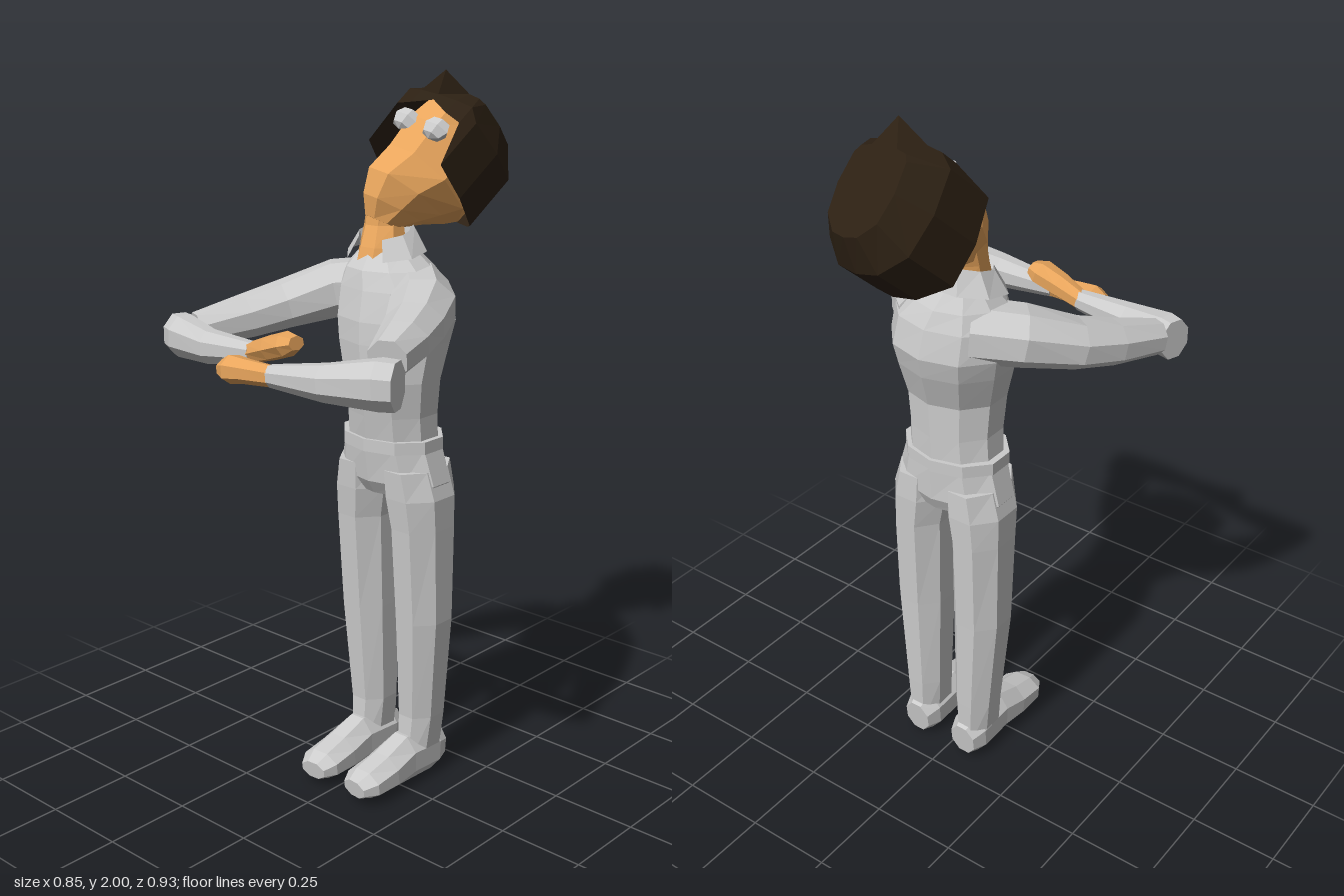
import * as THREE from 'three';

const V = (x, y, z) => new THREE.Vector3(x, y, z);
const mat = (color) => new THREE.MeshStandardMaterial({ color, flatShading: true, side: THREE.DoubleSide });
const cloth = mat(0xcccccc), skin = mat(0xe8a55c), hairMat = mat(0x2c2013);

// Skin a list of rings (equal point counts); optional fan caps and open seam.
function loft(name, rings, material, { start = true, end = true, closed = true } = {}) {
  const n = rings[0].length, pos = [], idx = [];
  rings.forEach((r) => r.forEach((p) => pos.push(p.x, p.y, p.z)));
  for (let k = 0; k < rings.length - 1; k++) {
    for (let i = 0; i < (closed ? n : n - 1); i++) {
      const a = k * n + i, b = k * n + (i + 1) % n;
      idx.push(a, b, b + n, a, b + n, a + n);
    }
  }
  const cap = (k, flip) => {
    const c = rings[k].reduce((s, p) => s.add(p), V(0, 0, 0)).divideScalar(n);
    const ci = pos.length / 3;
    pos.push(c.x, c.y, c.z);
    for (let i = 0; i < n; i++) {
      const a = k * n + i, b = k * n + (i + 1) % n;
      if (flip) idx.push(ci, b, a); else idx.push(ci, a, b);
    }
  };
  if (start) cap(0, true);
  if (end) cap(rings.length - 1, false);
  let g = new THREE.BufferGeometry();
  g.setAttribute('position', new THREE.Float32BufferAttribute(pos, 3));
  g.setIndex(idx);
  g = g.toNonIndexed();
  g.computeVertexNormals();
  const m = new THREE.Mesh(g, material);
  m.name = name;
  return m;
}

// Elliptic ring with half sizes a (sideways) and b, facing along the normal.
function ring(c, normal, a, b, n = 8) {
  const s = Math.abs(normal.y) > 0.9 ? V(1, 0, 0) : V(0, 1, 0).cross(normal).normalize();
  const v = normal.clone().cross(s).normalize(), k = 1 / Math.cos(Math.PI / n);
  return Array.from({ length: n }, (_, i) => {
    const t = ((i + 0.5) / n) * Math.PI * 2;
    return c.clone().addScaledVector(s, a * k * Math.cos(t)).addScaledVector(v, b * k * Math.sin(t));
  });
}

// Upright part: rows of [y, xMin, xMax, zBack, zFront], listed from bottom to top.
const column = (name, rows, material, n = 8) => loft(name, rows.map(([y, x0, x1, z0, z1]) =>
  ring(V((x0 + x1) / 2, y, (z0 + z1) / 2), V(0, 1, 0), (x1 - x0) / 2, (z1 - z0) / 2, n)), material);

// Limb along a path: rows of [x, y, z, halfWidth, halfHeight].
function limb(name, rows, material, n = 8) {
  const p = rows.map((r) => V(r[0], r[1], r[2]));
  return loft(name, rows.map((r, i) => {
    const t = p[Math.min(i + 1, p.length - 1)].clone().sub(p[Math.max(i - 1, 0)]).normalize();
    return ring(p[i], t, r[3], r[4], n);
  }), material);
}

function makeHead() {
  const head = new THREE.Group();
  head.name = 'head';
  // Face and skull: [front height, back height, half width, front, back]
  const rows = [
    [-0.235, -0.2, 0.045, 0.03, -0.05], [-0.2, -0.13, 0.07, 0.075, -0.11],
    [-0.14, -0.085, 0.095, 0.11, -0.155], [-0.05, -0.05, 0.12, 0.098, -0.18],
    [0.05, 0.05, 0.125, 0.108, -0.18], [0.13, 0.12, 0.1, 0.1, -0.15],
  ];
  head.add(loft('face', rows.map(([yf, yb, w, f, b]) => {
    const r = ring(V(0, 0, (f + b) / 2), V(0, 1, 0), w, (f - b) / 2);
    r.forEach((p) => { p.y = yb + (yf - yb) * (p.z - b) / (f - b); });
    return r;
  }), skin));

  // Bowl of hair, higher over the face: half outline [x, z, bottom height]
  const half = [[0, 0.125, 0.105], [0.07, 0.122, 0.08], [0.125, 0.112, 0.07], [0.147, 0.085, -0.05],
    [0.16, -0.03, -0.062], [0.14, -0.14, -0.07], [0.07, -0.2, -0.045], [0, -0.21, -0.038]];
  const outline = [...half, ...half.slice(1, -1).reverse().map(([x, z, y]) => [-x, z, y])];
  const bottom = outline.map(([x, z, y]) => V(x, y, z));
  const middle = outline.map(([x, z]) => V(x, z > 0.1 ? 0.125 : 0.1, z));
  const top = outline.map(([x, z]) => V(x * 0.62, 0.182, z > 0.12 && x === 0 ? 0.16 : -0.02 + (z + 0.02) * 0.7));
  head.add(loft('hair', [bottom, middle, top], hairMat, { start: false }));

  for (const s of [-1, 1]) {
    const eye = new THREE.Mesh(new THREE.SphereGeometry(1, 6, 4), cloth);
    eye.name = s > 0 ? 'leftEye' : 'rightEye';
    eye.scale.set(0.045, 0.034, 0.03);
    eye.position.set(s * 0.06, 0.035, 0.103);
    head.add(eye);
  }
  // Tipped back and leaning to its left
  head.position.set(0.02, 1.76, -0.23);
  head.rotation.set(-0.82, 0, -0.2);
  return head;
}

export function createModel() {
  const model = new THREE.Group();
  model.name = 'standingFigure';

  // Torso, belt and hips
  model.add(column('torso', [
    [1.0, -0.11, 0.155, -0.19, 0.02], [1.1, -0.1, 0.155, -0.19, 0.035], [1.2, -0.105, 0.168, -0.19, 0.05],
    [1.3, -0.135, 0.18, -0.225, 0.05], [1.36, -0.15, 0.19, -0.24, 0.045], [1.44, -0.15, 0.175, -0.225, 0.025],
    [1.49, -0.125, 0.12, -0.205, 0.01], [1.535, -0.09, 0.06, -0.175, -0.03],
  ], cloth, 10));
  model.add(column('belt', [[1.0, -0.125, 0.17, -0.2, 0.033], [1.035, -0.125, 0.17, -0.2, 0.033]], cloth, 10));
  model.add(column('hips', [
    [0.87, -0.12, 0.165, -0.18, -0.01], [0.91, -0.148, 0.193, -0.198, 0.015], [1.01, -0.12, 0.165, -0.2, 0.028],
  ], cloth, 10));

  // Legs and shoes
  for (const s of [-1, 1]) {
    const side = s > 0 ? 'left' : 'right';
    const X = (x) => 0.023 + s * x;
    const row = (y, inner, outer, zb, zf) =>
      [y, Math.min(X(inner), X(outer)), Math.max(X(inner), X(outer)), zb, zf];
    model.add(column(side + 'Leg', [
      row(0.05, 0.04, 0.135, -0.175, -0.03), row(0.2, 0.03, 0.15, -0.18, -0.04),
      row(0.5, 0.025, 0.175, -0.186, -0.02), row(0.78, 0.022, 0.178, -0.195, 0.0),
      row(0.87, 0.005, 0.178, -0.198, 0.01), row(0.95, 0.01, 0.155, -0.195, 0.015),
    ], cloth));
    model.add(limb(side + 'Shoe', [
      [X(0.085), 0.065, -0.182, 0.04, 0.05], [X(0.085), 0.07, -0.14, 0.055, 0.068],
      [X(0.085), 0.075, -0.03, 0.055, 0.07], [X(0.085), 0.062, 0.05, 0.06, 0.054],
      [X(0.083), 0.055, 0.13, 0.06, 0.04], [X(0.08), 0.05, 0.168, 0.04, 0.025],
    ], cloth));
  }

  // Folded arms, the right hand resting above the left
  model.add(limb('rightUpperArm', [
    [-0.06, 1.42, -0.13, 0.08, 0.08], [-0.17, 1.41, -0.06, 0.085, 0.075], [-0.26, 1.37, 0.05, 0.076, 0.062],
    [-0.31, 1.345, 0.15, 0.066, 0.056], [-0.365, 1.32, 0.28, 0.046, 0.045],
  ], cloth));
  model.add(limb('rightForearm', [
    [-0.405, 1.31, 0.31, 0.045, 0.055], [-0.37, 1.31, 0.322, 0.05, 0.056],
    [-0.24, 1.305, 0.345, 0.038, 0.044], [-0.08, 1.315, 0.346, 0.024, 0.028],
  ], cloth));
  model.add(limb('rightHand', [
    [-0.085, 1.315, 0.345, 0.023, 0.026], [-0.01, 1.34, 0.35, 0.034, 0.03],
    [0.05, 1.36, 0.35, 0.04, 0.03], [0.08, 1.367, 0.35, 0.025, 0.017],
  ], skin, 7));
  model.add(limb('leftUpperArm', [
    [0.07, 1.42, -0.13, 0.08, 0.08], [0.17, 1.41, -0.03, 0.085, 0.075], [0.245, 1.39, 0.09, 0.075, 0.064],
    [0.3, 1.375, 0.2, 0.066, 0.058], [0.345, 1.36, 0.31, 0.05, 0.05],
  ], cloth));
  model.add(limb('leftForearm', [
    [0.41, 1.315, 0.345, 0.05, 0.06], [0.37, 1.315, 0.36, 0.055, 0.062],
    [0.22, 1.3, 0.395, 0.042, 0.046], [0.05, 1.29, 0.411, 0.024, 0.028],
  ], cloth));
  model.add(limb('leftHand', [
    [0.055, 1.29, 0.411, 0.023, 0.026], [-0.03, 1.29, 0.42, 0.032, 0.03],
    [-0.08, 1.287, 0.42, 0.04, 0.035], [-0.112, 1.285, 0.42, 0.026, 0.02],
  ], skin, 7));

  // Neck and open flared collar
  model.add(column('neck', [
    [1.5, -0.085, 0.045, -0.15, -0.01], [1.545, -0.08, 0.04, -0.15, -0.025],
    [1.6, -0.08, 0.025, -0.15, -0.05], [1.68, -0.08, 0.03, -0.18, -0.06],
  ], skin));
  const arc = (y, rx, rz, drop) => Array.from({ length: 8 }, (_, i) => {
    const t = 0.55 + (i / 7) * (Math.PI * 2 - 1.1);
    return V(-0.02 + rx * Math.sin(t), y - drop * Math.cos(t), -0.1 + rz * Math.cos(t));
  });
  model.add(loft('collar', [arc(1.525, 0.12, 0.1, 0.015), arc(1.585, 0.08, 0.075, 0.02), arc(1.54, 0.07, 0.068, 0.02)],
    cloth, { start: false, end: false, closed: false }));

  model.add(makeHead());
  return model;
}
